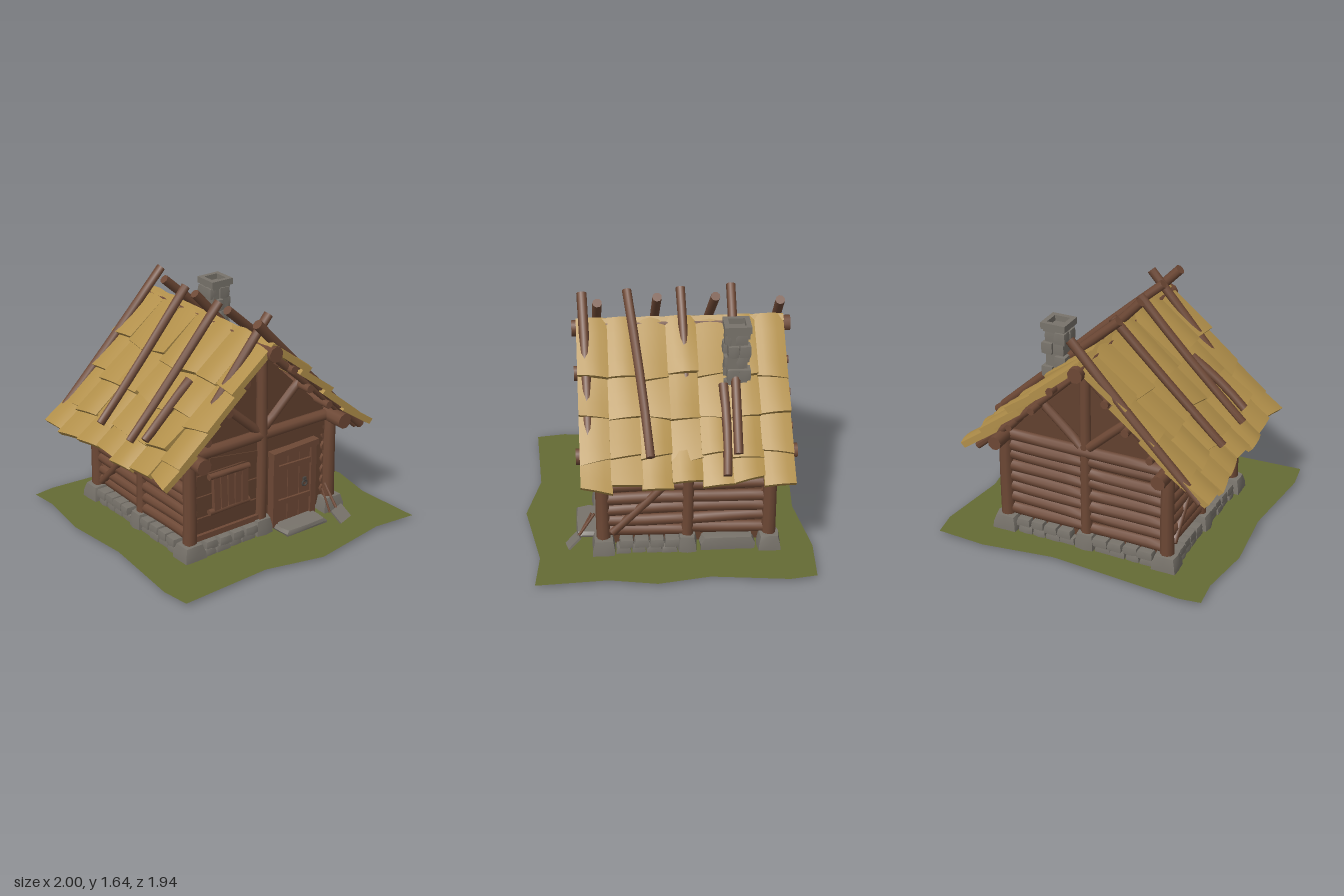
import * as THREE from 'three';
import { toCreasedNormals } from 'three/addons/utils/BufferGeometryUtils.js';

const mat = (name, color, side = THREE.FrontSide) => {
  const m = new THREE.MeshStandardMaterial({ color, side });
  m.name = name;
  return m;
};

export function createModel() {
  const house = new THREE.Group();
  house.name = 'cottage';
  const timber = mat('timber', 0x6d4835), wall = mat('wallWood', 0x62412f);
  const thatch = mat('thatch', 0xb18f4a), stone = mat('stone', 0x78736b);
  const grass = mat('grass', 0x656b34, THREE.DoubleSide), iron = mat('iron', 0x4a4642);

  let seed = 7;
  const rnd = (a = 0, b = 1) => {
    seed = (seed * 16807) % 2147483647;
    return a + (b - a) * seed / 2147483647;
  };
  const add = (name, geo, material, parent = house) => {
    const m = new THREE.Mesh(geo, material);
    m.name = name;
    parent.add(m);
    return m;
  };
  const warp = (geo, rule) => {
    const p = geo.attributes.position, v = new THREE.Vector3();
    for (let i = 0; i < p.count; i++) {
      v.fromBufferAttribute(p, i);
      rule(v);
      p.setXYZ(i, v.x, v.y, v.z);
    }
    geo.computeVertexNormals();
    return geo;
  };
  const box = (name, material, x, y, z, w, h, d) => {
    const m = add(name, new THREE.BoxGeometry(w, h, d), material);
    m.position.set(x, y, z);
    return m;
  };

  // Slightly bent, tapered round timber between two points
  const log = (name, a, b, r, bend = 0.008, material = timber) => {
    const A = new THREE.Vector3(...a), B = new THREE.Vector3(...b), len = A.distanceTo(B);
    const bx = rnd(-bend, bend), bz = rnd(-bend, bend);
    const geo = warp(new THREE.CylinderGeometry(r * rnd(0.86, 1), r, len, 9, 4), v => {
      const k = Math.cos(Math.PI * v.y / len);
      v.x += bx * k;
      v.z += bz * k;
    });
    const m = add(name, toCreasedNormals(geo, 0.9), material);
    m.position.copy(A).add(B).multiplyScalar(0.5);
    m.quaternion.setFromUnitVectors(new THREE.Vector3(0, 1, 0), B.sub(A).normalize());
    return m;
  };

  // Rounded, uneven rock that widens toward its base
  const rock = (name, x, y, z, w, h, d, flare = 0.1) => {
    const s = rnd(0, 9);
    const geo = warp(new THREE.BoxGeometry(1, 1, 1, 2, 2, 2), v => {
      const edges = [v.x, v.y, v.z].filter(c => Math.abs(c) > 0.4).length;
      const k = 1 - 0.07 * (edges - 1) + 0.05 * Math.sin(s + v.x * 7 + v.y * 11 + v.z * 5);
      const f = 1 - flare * (v.y + 0.5);
      v.set(v.x * w * k * f, v.y * h * Math.min(k, 1), v.z * d * k * f);
    });
    const m = add(name, toCreasedNormals(geo, 0.6), stone);
    m.position.set(x, y, z);
    return m;
  };

  // Ground patch
  const outline = [[-0.97, -0.95], [-0.82, -0.97], [0.12, -0.9], [0.62, -0.97], [0.97, -0.95], [1, -0.77],
    [0.94, -0.25], [1, 0.1], [0.94, 0.42], [0.97, 0.9], [0.66, 0.87], [0.1, 0.97], [-0.31, 0.87],
    [-0.97, 0.9], [-1, 0.7], [-0.95, 0.1], [-1, -0.37], [-0.95, -0.75]];
  const patch = new THREE.Shape(outline.map(([x, z]) => new THREE.Vector2(x, -z)));
  add('ground', new THREE.ShapeGeometry(patch).rotateX(-Math.PI / 2), grass).position.y = 0.025;

  // Wall body with both gables
  const gable = new THREE.Shape([[-0.585, 0.06], [0.555, 0.06], [0.555, 0.78], [-0.02, 1.34], [-0.585, 0.78]]
    .map(p => new THREE.Vector2(...p)));
  add('wallBody', new THREE.ExtrudeGeometry(gable, { depth: 1.07, bevelEnabled: false }), wall).position.z = -0.65;

  // Posts, foundation blocks and beams
  const L = 0.58, R = -0.61, C = -0.02, F = 0.44, B = -0.67, M = -0.12;
  for (const [x, z] of [[L, F], [R, F], [L, B], [R, B], [L, M], [R, M], [C, F], [C, B]]) {
    const middle = x === C || z === M;
    log('post', [x, 0.1, z], [x, x === C ? 1.36 : 0.75, z], middle ? 0.04 : 0.048, 0.006);
    rock('foundationBlock', x, middle ? 0.075 : 0.068, z, middle ? 0.16 : 0.19, 0.135, middle ? 0.14 : 0.17, 0.2);
  }
  for (const x of [L - 0.01, R]) log('eaveBeam', [x, 0.75, 0.61], [x, 0.75, -0.84], 0.055);
  log('ridgeBeam', [-0.04, 1.385, 0.615], [-0.04, 1.385, -0.85], 0.055);
  for (const [x, y, r] of [[0.16, 1.21, 0.03], [0.3, 1.04, 0.03], [0.47, 0.88, 0.028]])
    for (const px of [x, -0.07 - x]) log('purlin', [px, y, 0.56], [px, y, -0.82], r);
  for (const z of [F, B]) {
    log('crossBeam', [R, 0.75, z], [L, 0.75, z], 0.042);
    for (const s of [1, -1]) log('gableBrace', [C + s * 0.03, 0.79, z - 0.01], [C + s * 0.34, 1.07, z - 0.01], 0.032);
  }
  log('sideBrace', [L + 0.015, 0.17, 0.38], [L + 0.015, 0.64, -0.08], 0.028);
  log('sideBrace', [R - 0.01, 0.17, -0.6], [R - 0.01, 0.64, -0.16], 0.026);

  // Log courses on the sides and back
  for (let i = 0; i < 7; i++) {
    const y = 0.17 + i * 0.083, t = () => y + rnd(-0.012, 0.012);
    for (const x of [0.56, -0.59]) {
      log('sideLog', [x, t(), F], [x, t(), M], 0.044, 0.005);
      log('sideLog', [x, t(), M], [x, t(), B], 0.044, 0.005);
    }
    log('backLog', [R, t(), -0.65], [C, t(), -0.65], 0.044, 0.005);
    log('backLog', [C, t(), -0.65], [L, t(), -0.65], 0.044, 0.005);
  }

  // Front wall boards
  for (let i = 0; i < 4; i++) {
    const y = 0.21 + i * 0.155;
    const b = box('frontBoard', wall, -0.31, y, 0.425, 0.56, 0.148, 0.025);
    b.rotation.x = rnd(-0.05, 0.05);
  }
  box('slantedBoard', wall, -0.25, 0.645, 0.435, 0.4, 0.06, 0.02).rotation.z = -0.15;
  box('sill', timber, -0.31, 0.15, 0.435, 0.56, 0.04, 0.05);
  box('aboveDoorBoard', wall, 0.28, 0.665, 0.425, 0.54, 0.11, 0.03);

  // Shuttered window
  for (let i = 0; i < 5; i++) {
    const s = box('shutterBoard', timber, -0.415 + i * 0.058, 0.45 + rnd(-0.01, 0.01), 0.47, 0.05, 0.25, 0.03);
    s.rotation.z = rnd(-0.05, 0.05);
  }
  log('windowTop', [-0.47, 0.58, 0.465], [-0.14, 0.575, 0.465], 0.022);
  log('windowSill', [-0.47, 0.32, 0.465], [-0.14, 0.325, 0.465], 0.022);

  // Door
  for (let i = 0; i < 3; i++) box('doorBoard', timber, 0.145 + i * 0.1, 0.31, 0.448, 0.094, 0.53, 0.035);
  for (const x of [0.08, 0.41]) box('doorJamb', timber, x, 0.31, 0.455, 0.045, 0.54, 0.06);
  box('doorLintel', timber, 0.245, 0.59, 0.465, 0.39, 0.042, 0.07).rotation.z = 0.03;
  for (const y of [0.47, 0.21]) box('doorRail', timber, 0.245, y, 0.47, 0.28, 0.04, 0.025).rotation.z = -0.03;
  add('doorRing', new THREE.TorusGeometry(0.02, 0.007, 6, 12), iron).position.set(0.34, 0.3, 0.475);
  box('ringPlate', iron, 0.34, 0.325, 0.47, 0.025, 0.035, 0.02);
  rock('doorStep', 0.25, 0.04, 0.54, 0.38, 0.05, 0.17, 0.04);

  // Foundation cobbles between the blocks
  const cobbles = (x0, z0, x1, z1, n) => {
    const dx = (x1 - x0) / n, dz = (z1 - z0) / n, along = Math.hypot(dx, dz);
    for (let i = 0; i < n; i++) for (let j = 0; j < 2; j++) {
      const k = i + 0.5 + (j ? 0.2 : 0), w = along * rnd(0.95, 1.15), d = rnd(0.09, 0.12);
      rock('cobble', x0 + dx * k, 0.043 + j * 0.05, z0 + dz * k, dx ? w : d, 0.06, dx ? d : w);
    }
  };
  cobbles(-0.54, 0.45, -0.1, 0.45, 4);
  cobbles(-0.54, -0.67, -0.1, -0.67, 4);
  cobbles(0.06, -0.67, 0.48, -0.67, 4);
  cobbles(0.59, 0.36, 0.59, -0.05, 4);
  cobbles(-0.62, 0.36, -0.62, -0.05, 4);
  cobbles(-0.62, -0.2, -0.62, -0.58, 4);
  rock('foundationSlab', 0.58, 0.075, -0.39, 0.13, 0.1, 0.4);

  // Thatch: overlapping rows of curved bundles on each slope
  const rows = [[-0.01, 0.42], [0.34, 0.71], [0.62, 0.98], [0.87, 1.17]];
  for (const side of [1, -1]) {
    const slope = new THREE.Group();
    slope.name = side > 0 ? 'leftThatch' : 'rightThatch';
    slope.position.set(-0.035, 1.445, -0.11);
    slope.rotation.set(0, side > 0 ? 0 : Math.PI, -0.755);
    slope.rotation.order = 'YXZ';
    house.add(slope);
    for (const [s0, s1] of rows) for (let c = 0; c < 7; c++) {
      const len = s1 - s0 + rnd(-0.03, 0.03), w = 0.205, twist = rnd(-0.14, 0.14), skew = rnd(-0.25, 0.25);
      const arch = rnd(0.004, 0.02), lift = rnd(0.025, 0.05);
      const geo = warp(new THREE.BoxGeometry(len, 0.045, w, 4, 1, 4), v => {
        const t = v.x / len + 0.5;
        v.y += arch * Math.cos(Math.PI * v.z / w) + twist * v.z * t + lift * t - 0.02;
        v.x += skew * v.z * t;
      });
      add('thatchBundle', geo, thatch, slope).position.set(s0 + len / 2, 0, -0.59 + c * 0.197);
    }
  }

  // Rafters under the thatch and poles lying over it
  const pole = (name, side, xa, za, offA, xb, zb, offB, r = 0.032) => {
    const y = x => 1.45 - 0.94 * side * (x + 0.03);
    log(name, [xa, y(xa) + offA, za], [xb, y(xb) + offB, zb], r, 0.012);
  };
  for (const z of [0.5, 0.1, -0.3, -0.73]) {
    pole('rafter', 1, -0.02, z, -0.08, 0.76, z, -0.07, 0.026);
    pole('rafter', -1, -0.04, z, -0.08, -0.82, z, -0.07, 0.026);
  }
  pole('roofPole', 1, -0.14, 0.54, 0.04, 0.78, 0.53, -0.04, 0.035);
  pole('roofPole', 1, -0.15, 0.24, 0.04, 0.72, 0.13, 0.07);
  pole('roofPole', 1, -0.15, -0.12, 0.05, 0.4, -0.13, -0.05);
  pole('roofPole', 1, -0.16, -0.46, 0.05, 0.72, -0.44, 0.075);
  pole('roofPole', 1, 0.34, -0.37, 0.03, 0.82, -0.36, 0.07);
  pole('roofPole', -1, 0.03, 0.44, 0.09, -0.6, 0.45, -0.05);
  pole('roofPole', -1, -0.07, 0.04, 0.17, -0.82, 0.07, 0.085);
  pole('roofPole', -1, -0.06, -0.35, 0.16, -0.82, -0.28, 0.085);
  pole('roofPole', -1, -0.4, 0.16, 0.05, -0.78, 0.19, 0.085);
  pole('roofPole', -1, 0.03, -0.77, 0.08, -0.88, -0.78, 0.0);

  // Chimney
  box('chimneyCore', stone, 0.273, 1.27, -0.46, 0.13, 0.42, 0.13);
  for (let j = 0; j < 5; j++) for (const sx of [1, -1]) for (const sz of [1, -1]) {
    const k = j % 2 ? 0.012 : -0.012;
    rock('chimneyStone', 0.273 + sx * 0.036 + k, 1.115 + j * 0.084, -0.46 + sz * 0.038 - k * sx,
      rnd(0.075, 0.095), 0.086, rnd(0.075, 0.095), 0.03);
  }
  const square = (Cls, h) => new Cls([[-h, -h], [h, -h], [h, h], [-h, h]].map(p => new THREE.Vector2(...p)));
  const rim = square(THREE.Shape, 0.088);
  rim.holes.push(square(THREE.Path, 0.055));
  const cap = add('chimneyCap', new THREE.ExtrudeGeometry(rim, { depth: 0.045, bevelEnabled: false }).rotateX(-Math.PI / 2), stone);
  cap.position.set(0.273, 1.502, -0.46);
  box('chimneyFlue', stone, 0.273, 1.495, -0.46, 0.15, 0.025, 0.15);

  // Tools leaning by the door
  log('toolHandle', [0.52, 0.1, 0.61], [0.5, 0.26, 0.5], 0.01, 0);
  log('toolHandle', [0.47, 0.08, 0.6], [0.46, 0.24, 0.52], 0.008, 0);
  const blade = box('toolBlade', stone, 0.53, 0.07, 0.645, 0.11, 0.015, 0.11);
  blade.rotation.set(0.75, 0.25, 0);

  return house;
}
